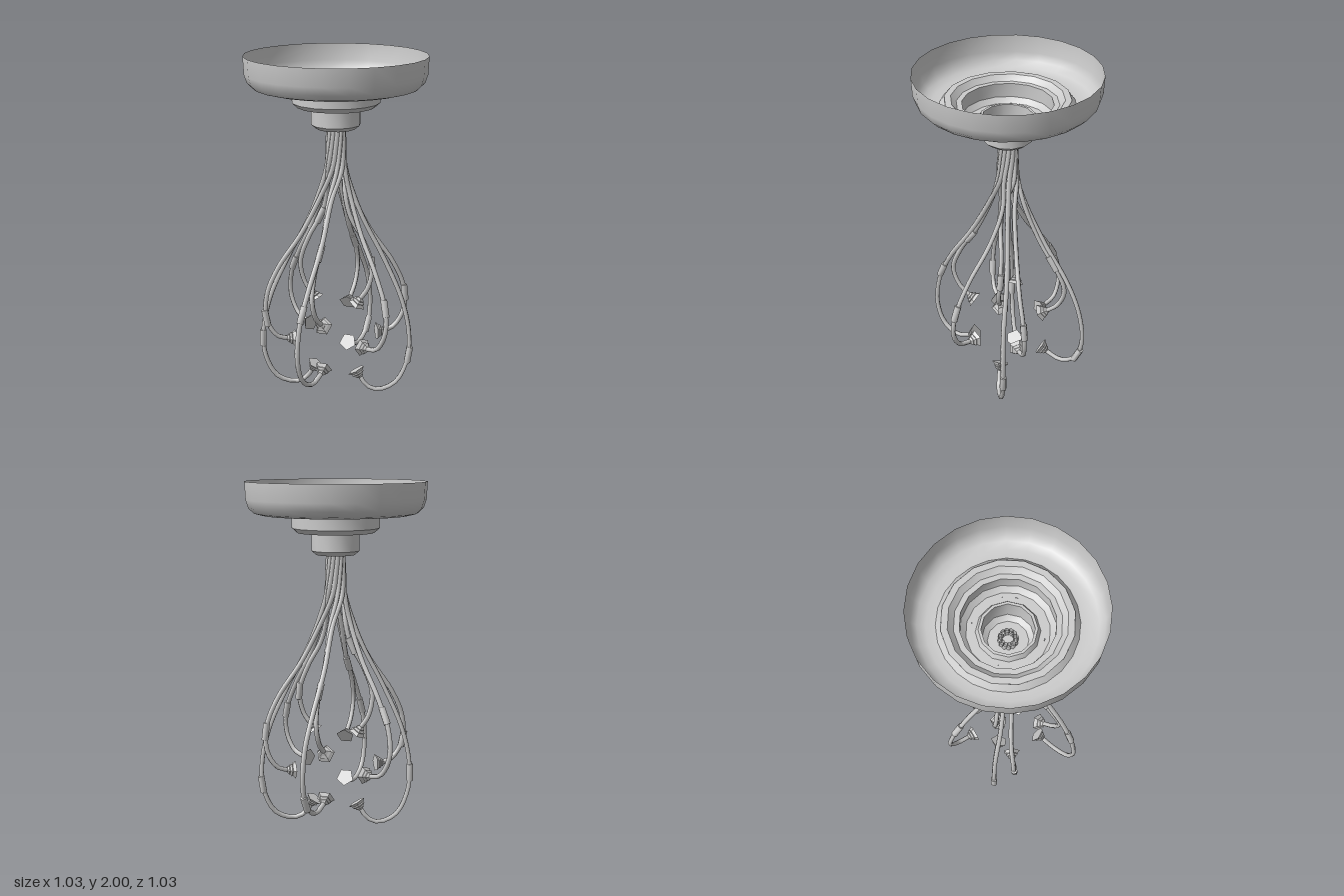
import * as THREE from 'three';
import { toCreasedNormals } from 'three/addons/utils/BufferGeometryUtils.js';

const grey = new THREE.MeshStandardMaterial({ color: 0xcccccc, side: THREE.DoubleSide });
const CENTRE = new THREE.Vector3(0, 0.345, 0);

function addMesh(parent, name, geometry) {
  const mesh = new THREE.Mesh(geometry, grey);
  mesh.name = name;
  parent.add(mesh);
  return mesh;
}

function lathe(profile, sides, crease) {
  const points = profile.map(([r, y]) => new THREE.Vector2(r, y));
  return toCreasedNormals(new THREE.LatheGeometry(points, sides), crease);
}

// Stepped pentagonal cup: the wide face looks at the centre, the tip meets the cable
const CUP = [[0, 0.245], [0.054, 0.245], [0.036, 0.262], [0.04, 0.268],
  [0.026, 0.277], [0.028, 0.283], [0.014, 0.295], [0, 0.295]];

function addCup(parent, dir, ref) {
  const x = new THREE.Vector3().crossVectors(dir, ref).normalize();
  const z = new THREE.Vector3().crossVectors(x, dir);
  const cup = addMesh(parent, 'cup', lathe(CUP, 5, 0.3));
  cup.quaternion.setFromRotationMatrix(new THREE.Matrix4().makeBasis(x, dir, z));
  cup.position.copy(CENTRE);
}

// One cable from the cup tip, twisting up to its slot in the hub, with a sleeve at a given height
function addCable(parent, dir, via, slot, sleeveY) {
  const a = THREE.MathUtils.degToRad(slot);
  const hub = (r, y, turn) => new THREE.Vector3(r * Math.cos(a + turn), y, r * Math.sin(a + turn));
  const curve = new THREE.CatmullRomCurve3([
    dir.clone().multiplyScalar(0.285).add(CENTRE),
    ...via.map((p) => new THREE.Vector3(...p)),
    hub(0.055, 1.36, -0.5), hub(0.046, 1.5, -0.9), hub(0.041, 1.63, -1.2),
  ]);
  addMesh(parent, 'cable', new THREE.TubeGeometry(curve, 44, 0.014, 6));

  let best = 0;
  for (let u = 0; u <= 1; u += 0.005) {
    if (Math.abs(curve.getPointAt(u).y - sleeveY) < Math.abs(curve.getPointAt(best).y - sleeveY)) best = u;
  }
  const sleeve = addMesh(parent, 'cableSleeve',
    toCreasedNormals(new THREE.CylinderGeometry(0.02, 0.02, 0.1, 7), 1));
  sleeve.position.copy(curve.getPointAt(best));
  sleeve.quaternion.setFromUnitVectors(new THREE.Vector3(0, 1, 0), curve.getTangentAt(best));
}

// Six cables, each repeated half a turn round; angle is the cup's place on the front ring
const CABLES = [
  { name: 'frontArm', angle: null, slot: 90, sleeves: [0.62, 0.71],
    via: [[0.005, 0.37, 0.37], [0.02, 0.48, 0.425], [0.03, 0.63, 0.405], [0.035, 0.8, 0.315],
      [0.045, 1.0, 0.17], [0.045, 1.2, 0.075]] },
  { name: 'sideArm', angle: 0, slot: 0, sleeves: [0.58, 0.48],
    via: [[0.32, 0.37, 0.15], [0.37, 0.47, 0.18], [0.365, 0.62, 0.185], [0.3, 0.78, 0.16],
      [0.185, 0.98, 0.09], [0.092, 1.2, 0.025]] },
  { name: 'topArm', angle: 72, slot: 30, sleeves: [0.79, 1.07],
    via: [[0.11, 0.66, 0.16], [0.135, 0.79, 0.165], [0.1, 0.94, 0.13], [0.04, 1.08, 0.085],
      [0.025, 1.2, 0.055]] },
  { name: 'upperArm', angle: 144, slot: 150, sleeves: [0.92, 0.85],
    via: [[-0.27, 0.56, 0.16], [-0.305, 0.67, 0.175], [-0.265, 0.81, 0.145], [-0.175, 0.97, 0.1],
      [-0.085, 1.2, 0.05]] },
  { name: 'lowerArm', angle: 216, slot: 120, sleeves: [0.62, 0.25],
    via: [[-0.3, 0.165, 0.165], [-0.39, 0.22, 0.195], [-0.435, 0.36, 0.21], [-0.41, 0.56, 0.2],
      [-0.33, 0.74, 0.175], [-0.195, 0.96, 0.12], [-0.08, 1.2, 0.065]] },
  { name: 'bottomArm', angle: 288, slot: 60, sleeves: [0.23, 0.31],
    via: [[0.11, 0.04, 0.16], [0.16, 0.017, 0.2], [0.25, 0.06, 0.255], [0.31, 0.2, 0.29],
      [0.317, 0.36, 0.295], [0.285, 0.57, 0.265], [0.21, 0.83, 0.18], [0.125, 1.05, 0.105],
      [0.08, 1.2, 0.065]] },
];

export function createModel() {
  const model = new THREE.Group();
  model.name = 'ceilingClaw';

  // Ceiling mount: open bowl with a groove, then two stepped collars down to the hub
  const mount = new THREE.Group();
  mount.name = 'ceilingMount';
  model.add(mount);
  addMesh(mount, 'bowl', lathe([[0.34, 1.85], [0.37, 1.813], [0.42, 1.813], [0.465, 1.825],
    [0.495, 1.855], [0.51, 1.9], [0.515, 2]], 24, 0.65));
  addMesh(mount, 'upperCollar', lathe([[0.195, 1.713], [0.22, 1.713], [0.25, 1.74], [0.25, 1.82],
    [0.28, 1.82], [0.31, 1.85], [0.345, 1.85]], 16, 0.55));
  addMesh(mount, 'lowerCollar', lathe([[0, 1.588], [0.07, 1.588], [0.11, 1.588], [0.14, 1.612],
    [0.14, 1.745], [0.155, 1.745], [0.17, 1.713], [0.2, 1.713]], 12, 0.55));

  // Twelve arms whose cups face the centre, evenly spread round a sphere
  for (const { name, angle, slot, sleeves, via } of CABLES) {
    const t = THREE.MathUtils.degToRad(angle ?? 0);
    const s = 2 / Math.sqrt(5);
    const pole = angle === null;
    const dir = pole ? new THREE.Vector3(0, 0, 1)
      : new THREE.Vector3(s * Math.cos(t), s * Math.sin(t), s / 2);
    const ref = pole ? new THREE.Vector3(-1, 0, 0) : new THREE.Vector3(0, 0, -1);
    sleeves.forEach((sleeveY, half) => {
      const arm = new THREE.Group();
      arm.name = name + (half + 1);
      addCup(arm, dir, ref);
      addCable(arm, dir, via, slot, sleeveY);
      arm.rotation.y = half * Math.PI;
      model.add(arm);
    });
  }
  return model;
}
